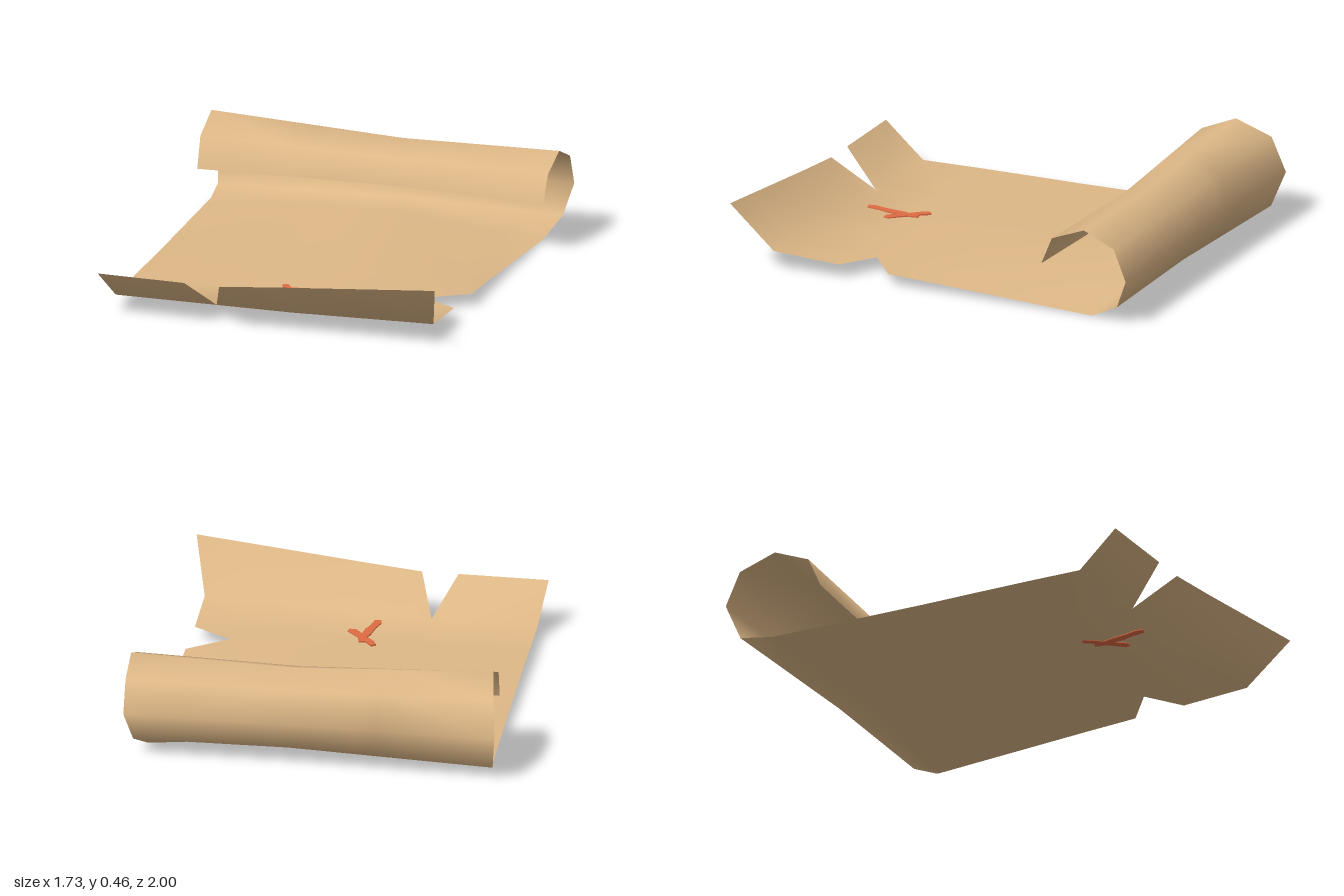
import * as THREE from 'three';

// Each row runs across the sheet: [x, y, z] at the right edge, the middle and the left edge
const ROWS = [
  // rolled end, from the free lip round to the flat part
  [[-0.81, 0.25, -0.54], [0.1, 0.25, -0.595], [0.85, 0.25, -0.56]],
  [[-0.815, 0.39, -0.6], [0.1, 0.37, -0.635], [0.855, 0.38, -0.615]],
  [[-0.82, 0.46, -0.77], [0.1, 0.42, -0.78], [0.855, 0.44, -0.775]],
  [[-0.85, 0.385, -0.935], [0.1, 0.36, -0.925], [0.855, 0.37, -0.925]],
  [[-0.865, 0.22, -1], [0.1, 0.22, -0.985], [0.855, 0.22, -0.985]],
  [[-0.845, 0.055, -0.935], [0.1, 0.085, -0.925], [0.82, 0.08, -0.925]],
  [[-0.825, 0.035, -0.78], [0.1, 0.07, -0.78], [0.775, 0.005, -0.78]],
  // flat part
  [[-0.787, 0.047, 0], [0.1, 0.066, 0], [0.775, 0.048, 0]],
  [[-0.776, 0.053, 0.25], [0.1, 0.066, 0.25], [0.78, 0.062, 0.24]],
  [[-0.771, 0.055, 0.38], [0.1, 0.067, 0.38], [0.78, 0.067, 0.38]],
  [[-0.767, 0.057, 0.49], [0.1, 0.068, 0.49], [0.78, 0.072, 0.49]],
  // fold and turned-up front edge
  [[-0.755, 0.06, 0.77], [0.1, 0.071, 0.79], [0.79, 0.095, 0.81]],
  [[-0.775, 0.22, 0.965], [0.1, 0.248, 0.973], [0.86, 0.32, 0.997]],
];
const COLUMNS = [-0.78, -0.36, -0.275, -0.19, 0.1, 0.6, 0.78];
const SIDE_TEAR_ROW = 9, FRONT_TEAR_COLUMN = 2;

function rowPoint([left, middle, right], x) {
  const a = new THREE.Vector3(...left), m = new THREE.Vector3(...middle), b = new THREE.Vector3(...right);
  return x < 0.1 ? a.lerp(m, (x + 0.78) / 0.88) : m.lerp(b, (x - 0.1) / 0.68);
}

function sheetGeometry() {
  const grid = ROWS.map(row => COLUMNS.map(x => rowPoint(row, x)));
  const last = grid.length - 1, n = COLUMNS.length;
  // level front edge left of the tear
  for (let c = 0; c < 4; c++) grid[last][c].y = 0.22;
  // tears: pull an edge point in onto its inner neighbour
  grid[last][FRONT_TEAR_COLUMN].copy(grid[last - 1][FRONT_TEAR_COLUMN]);
  const index = [];
  const id = (r, c) => {
    if (r === last && c === FRONT_TEAR_COLUMN) r = last - 1;
    if (r === SIDE_TEAR_ROW && c === n - 1) c = n - 2;
    return r * n + c;
  };
  const triangle = (a, b, c) => {
    if (a !== b && b !== c && c !== a) index.push(a, b, c);
  };
  for (let r = 0; r < last; r++) {
    for (let c = 0; c < n - 1; c++) {
      const a = id(r, c), b = id(r + 1, c), d = id(r + 1, c + 1), e = id(r, c + 1);
      // the diagonal leans towards the front tear on its left side
      if (c < FRONT_TEAR_COLUMN) {
        triangle(a, b, e);
        triangle(b, d, e);
      } else {
        triangle(a, b, d);
        triangle(a, d, e);
      }
    }
  }
  const geometry = new THREE.BufferGeometry().setFromPoints(grid.flat());
  geometry.setIndex(index);
  geometry.computeVertexNormals();
  return geometry;
}

// Hand-painted mark, drawn in x and z
function markGeometry() {
  const outline = [
    [-0.07, 0.42], [-0.05, 0.405], [-0.015, 0.45], [0.015, 0.44], [0.025, 0.495], [0.085, 0.56],
    [0.08, 0.585], [0.05, 0.585], [0.015, 0.54], [0.01, 0.6], [-0.005, 0.64], [-0.015, 0.71],
    [-0.045, 0.715], [-0.05, 0.68], [-0.035, 0.62], [-0.025, 0.54], [-0.015, 0.5], [-0.055, 0.455],
  ];
  const shape = new THREE.Shape(outline.map(([x, z]) => new THREE.Vector2(x, -z)));
  const geometry = new THREE.ExtrudeGeometry(shape, { depth: 0.0095, bevelEnabled: false });
  geometry.rotateX(-Math.PI / 2);
  geometry.translate(0, 0.0635, 0);
  return geometry;
}

export function createModel() {
  const parchment = new THREE.MeshStandardMaterial({ color: 0xdeb887, side: THREE.DoubleSide });
  parchment.name = 'parchment';
  const redInk = new THREE.MeshStandardMaterial({ color: 0xdf6b43 });
  redInk.name = 'redInk';

  const group = new THREE.Group();
  group.name = 'scroll';
  const add = (name, geometry, material) => {
    const mesh = new THREE.Mesh(geometry, material);
    mesh.name = name;
    group.add(mesh);
  };
  add('parchmentSheet', sheetGeometry(), parchment);
  add('inkMark', markGeometry(), redInk);
  return group;
}
